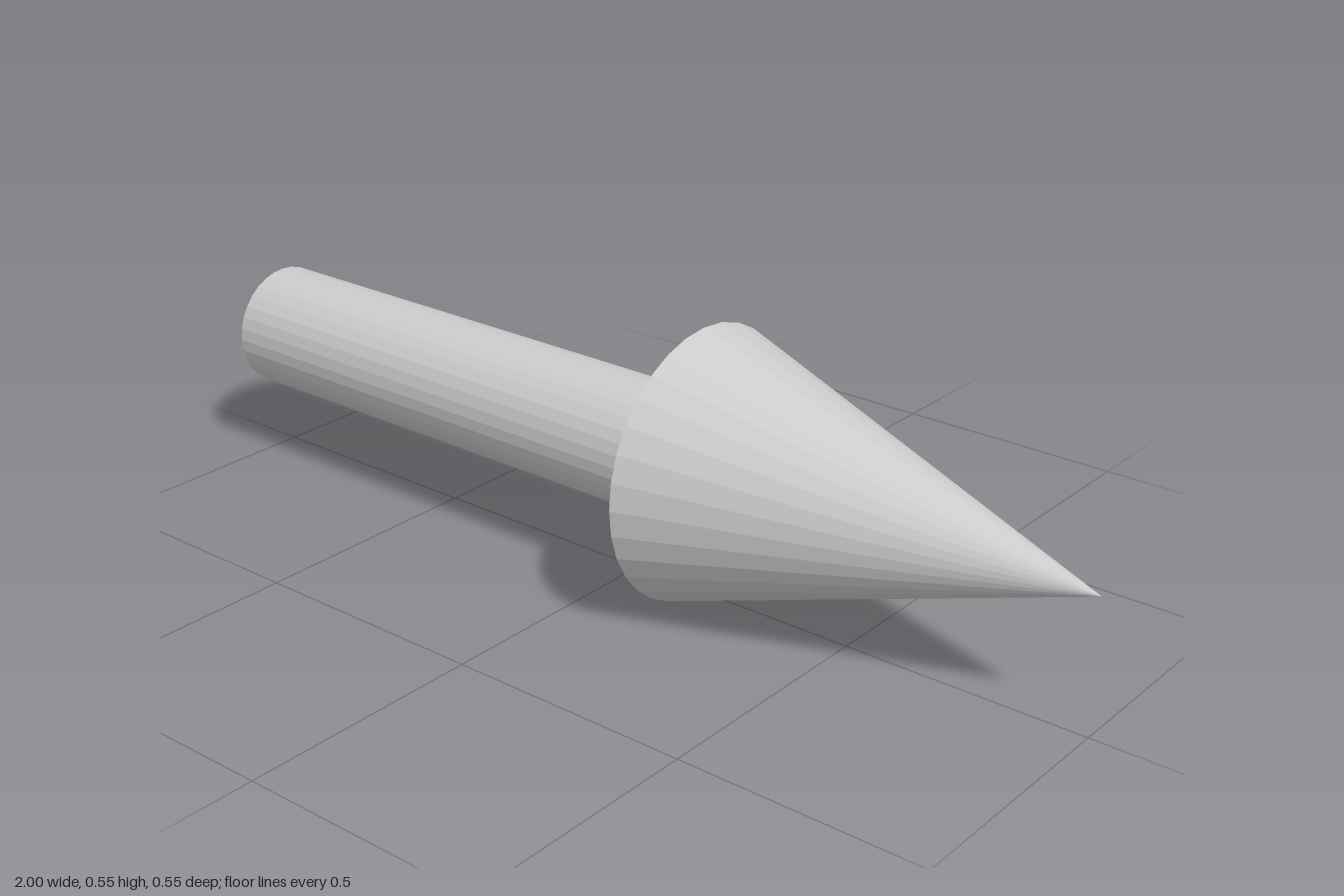
import * as THREE from 'three';

const SIDES = 32;
const HEAD_RADIUS = 0.273;
const SHAFT_RADIUS = 0.128;
const HEAD_BASE = 0.16; // x where the shaft meets the head

export function createModel() {
  const arrow = new THREE.Group();
  arrow.name = 'arrow';
  const material = new THREE.MeshStandardMaterial({ color: 0xcccccc, flatShading: true });

  // Lays an upright geometry along +x, spanning x0 to x1
  const addPart = (name, geometry, x0, x1) => {
    geometry.rotateZ(-Math.PI / 2);
    const mesh = new THREE.Mesh(geometry, material);
    mesh.name = name;
    mesh.position.set((x0 + x1) / 2, HEAD_RADIUS, 0);
    arrow.add(mesh);
  };

  // Round shaft, closed at both ends
  addPart('shaft', new THREE.CylinderGeometry(SHAFT_RADIUS, SHAFT_RADIUS, HEAD_BASE + 1, SIDES), -1, HEAD_BASE);

  // Pointed head with a flat back
  addPart('head', new THREE.ConeGeometry(HEAD_RADIUS, 1 - HEAD_BASE, SIDES), HEAD_BASE, 1);

  return arrow;
}
